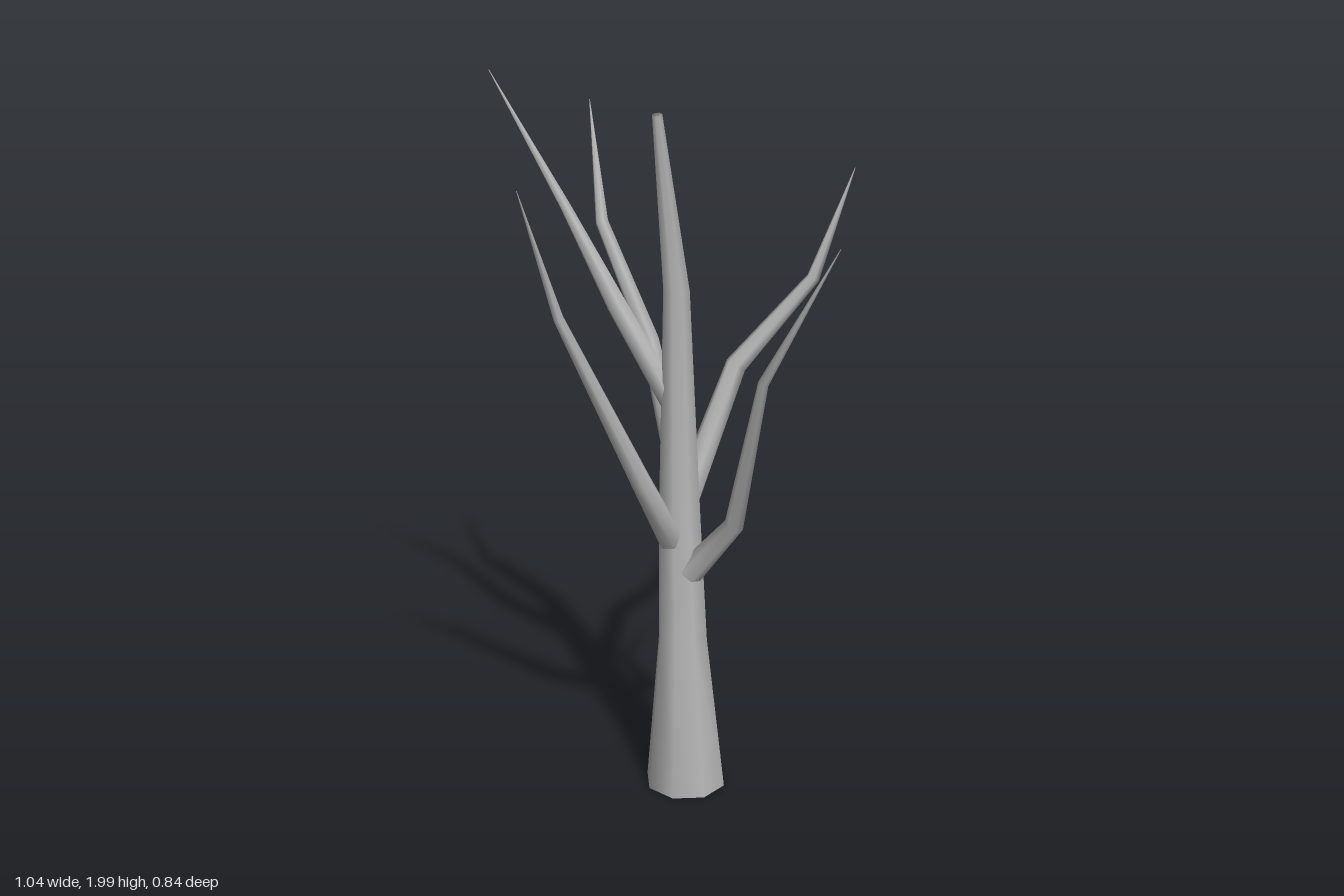
import * as THREE from 'three';

// Tapered limb through rings given as [x, y, z, radius]; rings are mitred at the bends.
function limb(name, rings, sides, material, startUp) {
  const centres = rings.map(([x, y, z]) => new THREE.Vector3(x, y, z));
  const positions = [], index = [];
  const last = rings.length - 1;
  rings.forEach((ring, i) => {
    const c = centres[i];
    const t = new THREE.Vector3();
    if (i > 0) t.add(c.clone().sub(centres[i - 1]).normalize());
    if (i < last) t.add(centres[i + 1].clone().sub(c).normalize());
    if (i === 0 && startUp) t.set(0, 1, 0);
    t.normalize();
    const u = new THREE.Vector3(1, 0, 0).addScaledVector(t, -t.x).normalize();
    const v = t.clone().cross(u);
    for (let j = 0; j < sides; j++) {
      const a = (j / sides) * Math.PI * 2;
      const p = c.clone()
        .addScaledVector(u, ring[3] * Math.cos(a))
        .addScaledVector(v, ring[3] * Math.sin(a));
      positions.push(p.x, p.y, p.z);
      if (i < last) {
        const k = i * sides, n = (j + 1) % sides;
        index.push(k + j, k + n, k + sides + j, k + n, k + sides + n, k + sides + j);
      }
    }
  });
  // close the far end
  for (let j = 1; j < sides - 1; j++) {
    index.push(last * sides, last * sides + j, last * sides + j + 1);
  }
  const geometry = new THREE.BufferGeometry();
  geometry.setAttribute('position', new THREE.Float32BufferAttribute(positions, 3));
  geometry.setIndex(index);
  geometry.computeVertexNormals();
  const mesh = new THREE.Mesh(geometry, material);
  mesh.name = name;
  return mesh;
}

export function createModel() {
  const model = new THREE.Group();
  model.name = 'bareTree';
  const bark = new THREE.MeshStandardMaterial({ color: 0xb4b4b4, side: THREE.DoubleSide });
  bark.name = 'grey bark';

  // trunk, open underneath
  model.add(limb('trunk', [
    [0.06, 0, -0.055, 0.115],
    [0.048, 0.45, -0.062, 0.07],
    [0.032, 0.8, -0.078, 0.06],
    [0.012, 1.44, -0.105, 0.037],
    [-0.01, 1.925, -0.012, 0.014],
  ], 8, bark, true));

  // branches, each with two bends and a pointed tip
  const branches = {
    lowerLeftBranch: [
      [0.07, 0.655, -0.05, 0.038], [0.2, 0.82, -0.035, 0.027],
      [0.322, 1.295, 0.137, 0.014], [0.517, 1.67, 0.162, 0.001]],
    frontBranch: [
      [0.02, 0.75, -0.04, 0.037], [-0.02, 0.965, 0.092, 0.03],
      [-0.195, 1.44, 0.222, 0.015], [-0.22, 1.815, 0.415, 0.001]],
    backLeftBranch: [
      [0.05, 0.87, -0.09, 0.038], [0.137, 1.2, -0.245, 0.03],
      [0.325, 1.44, -0.33, 0.018], [0.411, 1.73, -0.41, 0.001]],
    backRightBranch: [
      [0.01, 0.98, -0.1, 0.034], [-0.105, 1.25, -0.23, 0.026],
      [-0.25, 1.565, -0.253, 0.018], [-0.346, 1.86, -0.425, 0.001]],
    upperRightBranch: [
      [0.01, 1.12, -0.09, 0.034], [-0.145, 1.39, -0.078, 0.028],
      [-0.327, 1.62, -0.18, 0.015], [-0.517, 1.985, -0.13, 0.001]],
  };
  for (const [name, rings] of Object.entries(branches)) {
    model.add(limb(name, rings, 6, bark, false));
  }
  return model;
}
